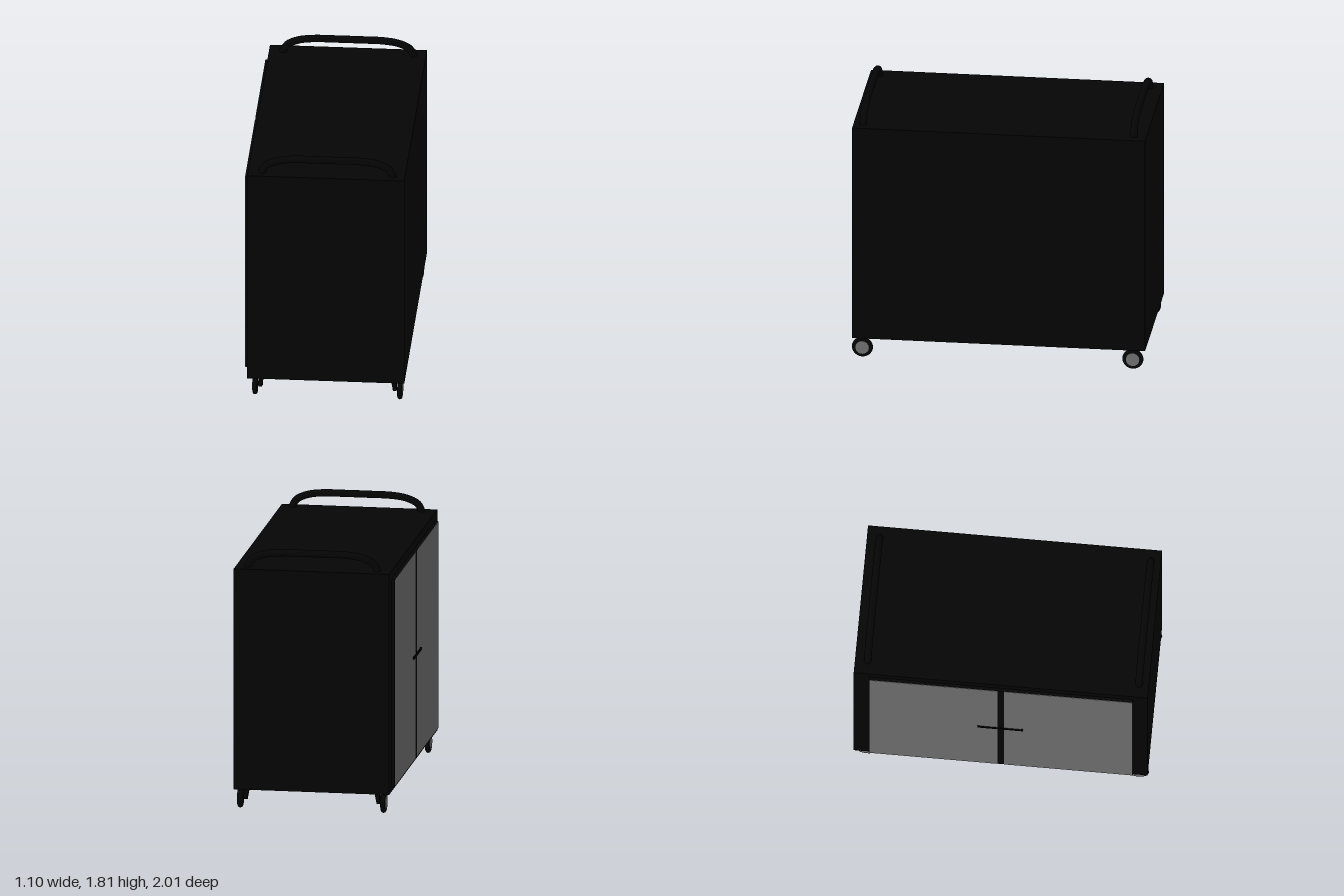
import * as THREE from 'three';

const black = new THREE.MeshStandardMaterial({ color: 0x050505 });
const grey = new THREE.MeshStandardMaterial({ color: 0x808080 });

function add(parent, name, geometry, material, x = 0, y = 0, z = 0) {
  const mesh = new THREE.Mesh(geometry, material);
  mesh.name = name;
  mesh.position.set(x, y, z);
  parent.add(mesh);
  return mesh;
}

// Box given by its minimum and maximum corners
function addBox(parent, name, a, b, material = black) {
  const size = b.map((v, i) => v - a[i]);
  const mid = b.map((v, i) => (v + a[i]) / 2);
  return add(parent, name, new THREE.BoxGeometry(...size), material, ...mid);
}

// Arched push handle, spanning the cart in x
function createHandle(z) {
  const half = [[0.45, 1.65], [0.44, 1.69], [0.415, 1.73], [0.34, 1.765], [0.24, 1.78], [0.08, 1.782]];
  const points = [
    ...half.map(([x, y]) => new THREE.Vector3(0.02 - x, y, z)),
    ...half.slice().reverse().map(([x, y]) => new THREE.Vector3(0.02 + x, y, z)),
  ];
  const tube = new THREE.TubeGeometry(new THREE.CatmullRomCurve3(points), 48, 0.025, 12);
  const handle = new THREE.Mesh(tube, black);
  handle.name = 'pushHandle';
  return handle;
}

// Caster: tyre, outer hub disc, axle and slanted inner bracket
function createCaster(side, z) {
  const caster = new THREE.Group();
  caster.name = 'caster';
  caster.position.set(0.022 + side * 0.492, 0.073, z);

  const tyre = new THREE.LatheGeometry([
    [0, -0.016], [0.06, -0.016], [0.068, -0.011], [0.072, 0], [0.068, 0.011], [0.06, 0.016], [0, 0.016],
  ].map(([r, h]) => new THREE.Vector2(r, h)), 28).rotateZ(-Math.PI / 2);
  add(caster, 'tyre', tyre, black);

  const hub = new THREE.CylinderGeometry(0.046, 0.046, 0.006, 28).rotateZ(Math.PI / 2);
  add(caster, 'hub', hub, grey, side * 0.0155);

  const axle = new THREE.CylinderGeometry(0.011, 0.011, 0.05, 12).rotateZ(Math.PI / 2);
  add(caster, 'axle', axle, black, -side * 0.025);

  // Bracket outline in x and y, as seen from the front
  const outline = [[-0.062, 0.075], [-0.046, -0.008], [-0.024, -0.008], [-0.024, 0.03], [-0.03, 0.075]]
    .map(([x, y]) => new THREE.Vector2(side * x, y));
  const bracket = new THREE.ExtrudeGeometry(new THREE.Shape(outline), { depth: 0.05, bevelEnabled: false });
  add(caster, 'bracket', bracket, black, 0, 0, -0.025);
  return caster;
}

export function createModel() {
  const cart = new THREE.Group();
  cart.name = 'cabinetCart';

  addBox(cart, 'cabinet', [-0.52, 0.145, -1], [0.547, 1.678, 1]);

  // Raised door frame with two grey panels
  addBox(cart, 'doorFrame', [-0.541, 0.18, -0.893], [-0.52, 1.62, 0.9]);
  addBox(cart, 'rearDoor', [-0.543, 0.182, -0.891], [-0.54, 1.618, -0.018], grey);
  addBox(cart, 'frontDoor', [-0.543, 0.182, 0.025], [-0.54, 1.618, 0.898], grey);

  // Slim door pulls with a mounting post at each end
  for (const [name, z0, z1] of [['rearPull', -0.155, 0], ['frontPull', 0.006, 0.155]]) {
    const pull = new THREE.Group();
    pull.name = name;
    addBox(pull, 'bar', [-0.553, 0.895, z0], [-0.547, 0.915, z1]);
    for (const z of [z0, z1 - 0.015]) addBox(pull, 'post', [-0.548, 0.897, z], [-0.54, 0.913, z + 0.015]);
    cart.add(pull);
  }

  // Handles and casters at both ends
  for (const z of [0.933, -0.913]) {
    cart.add(createHandle(z));
    for (const side of [-1, 1]) cart.add(createCaster(side, z));
  }
  return cart;
}
